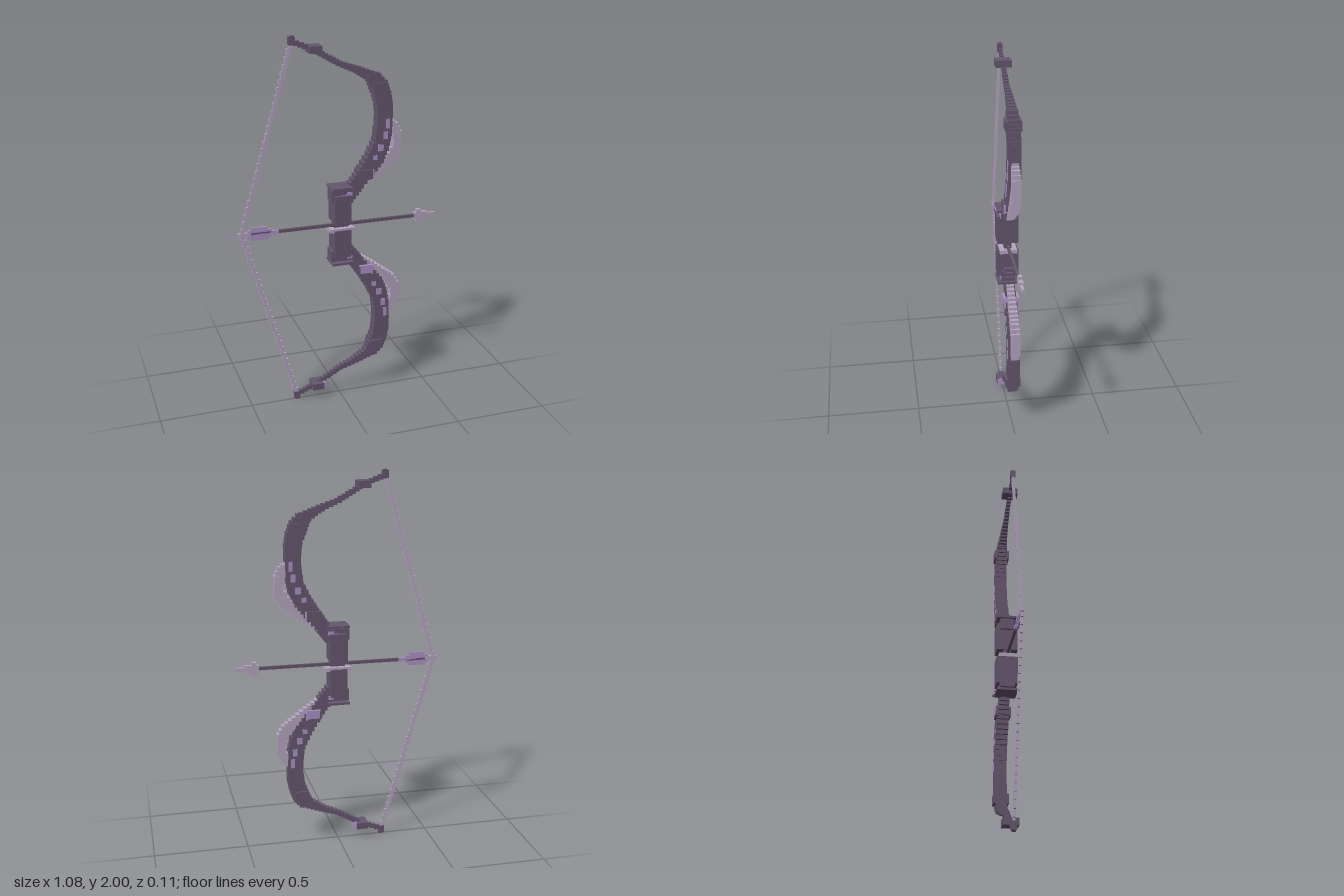
import * as THREE from 'three';
import { mergeGeometries } from 'three/addons/utils/BufferGeometryUtils.js';

const mat = (name, color) => {
  const m = new THREE.MeshStandardMaterial({ color });
  m.name = name;
  return m;
};

export function createModel() {
  const dark = mat('dark plum', 0x65576f);
  const pale = mat('pale mauve', 0xb5a5bf);
  const lilac = mat('lilac', 0xab92c6);
  const shaftGrey = mat('shaft grey', 0x63566a);
  const group = new THREE.Group();

  // One box: centre x, y, z and size w, h, d
  const box = (x, y, z, w, h, d) => new THREE.BoxGeometry(w, h, d).translate(x, y, z);
  const add = (name, material, boxes) => {
    const mesh = new THREE.Mesh(mergeGeometries(boxes.map((b) => box(...b))), material);
    mesh.name = name;
    group.add(mesh);
  };

  // Stepped chain of boxes along keys of [x, y, w, h, d]
  const chain = (keys, step) => {
    const out = [];
    keys.slice(0, -1).forEach((a, i) => {
      const b = keys[i + 1];
      const n = Math.max(1, Math.round(Math.hypot(b[0] - a[0], b[1] - a[1]) / step));
      for (let k = 0; k < n; k++) {
        const v = a.map((p, j) => p + (b[j] - p) * (k / n));
        out.push([v[0], v[1], 0, v[2], v[3], v[4]]);
      }
    });
    const e = keys[keys.length - 1];
    out.push([e[0], e[1], 0, e[2], e[3], e[4]]);
    return out;
  };

  // Upper and lower halves, mirrored about y = 1
  for (const s of [1, -1]) {
    const side = s > 0 ? 'upper' : 'lower';
    const put = (name, material, boxes) =>
      add(side + name, material, boxes.map(([x, y, ...r]) => [x, s > 0 ? y : 2 - y, ...r]));

    // Grip half with its end collar and thin plate
    put('Grip', dark, [
      [0.005, 1.095, 0, 0.09, 0.15, 0.11],
      [0.005, 1.165, 0, 0.115, 0.06, 0.075],
      [0.005, 1.207, 0, 0.115, 0.012, 0.11],
    ]);

    // Thick curved limb
    put('Limb', dark, chain([
      [0.04, 1.15, 0.06, 0.06, 0.05], [0.095, 1.22, 0.065, 0.055, 0.05],
      [0.145, 1.285, 0.08, 0.05, 0.06], [0.19, 1.35, 0.085, 0.06, 0.062],
      [0.222, 1.42, 0.075, 0.07, 0.062], [0.235, 1.5, 0.078, 0.08, 0.062],
      [0.238, 1.6, 0.08, 0.08, 0.06], [0.227, 1.67, 0.08, 0.06, 0.06],
      [0.205, 1.73, 0.085, 0.05, 0.058], [0.18, 1.768, 0.07, 0.045, 0.05],
    ], 0.025));

    // Thin outer limb and tip
    put('LimbEnd', dark, chain([
      [0.17, 1.775, 0.06, 0.04, 0.045], [0.09, 1.815, 0.04, 0.03, 0.035],
      [0, 1.85, 0.035, 0.022, 0.025], [-0.13, 1.925, 0.03, 0.022, 0.02],
      [-0.22, 1.962, 0.028, 0.025, 0.016], [-0.245, 1.975, 0.032, 0.04, 0.024],
    ], 0.022));
    put('Tip', dark, [[-0.243, 1.98, 0, 0.022, 0.04, 0.02]]);

    // Binding blocks along the limb
    put('Bindings', dark, [
      [-0.13, 1.93, 0, 0.065, 0.036, 0.08],
      [0.205, 1.72, 0, 0.07, 0.05, 0.08],
      [0.135, 1.27, 0, 0.07, 0.05, 0.08],
    ]);
    put('BindingPlate', lilac, [[0.174, 1.27, 0, 0.008, 0.045, 0.08]]);

    // Pale crescent guard in front of the limb
    put('Crescent', pale, chain([
      [0.265, 1.535, 0.035, 0.03, 0.035], [0.295, 1.5, 0.04, 0.055, 0.04],
      [0.313, 1.45, 0.04, 0.065, 0.045], [0.31, 1.395, 0.045, 0.06, 0.045],
      [0.28, 1.345, 0.055, 0.05, 0.045], [0.225, 1.295, 0.055, 0.035, 0.045],
      [0.165, 1.245, 0.05, 0.03, 0.04], [0.11, 1.2, 0.04, 0.025, 0.04],
    ], 0.025));

    // Small lilac inlays showing on both faces of the limb
    put('Inlays', lilac, [
      [0.252, 1.53, 0, 0.02, 0.05, 0.068], [0.24, 1.47, 0, 0.025, 0.04, 0.068],
      [0.215, 1.405, 0, 0.03, 0.035, 0.068], [0.185, 1.355, 0, 0.025, 0.025, 0.068],
      [0.025, 1.15, 0, 0.035, 0.045, 0.082], [0.045, 1.175, 0, 0.03, 0.02, 0.082],
    ]);

    // Bowstring half, drawn back to the nock
    put('String', pale, chain([
      [-0.52, 1.012, 0.02, 0.045, 0.013], [-0.25, 1.955, 0.02, 0.045, 0.013],
    ], 0.04));
  }

  // Lilac plates found only on the lower half
  add('lowerPlates', lilac, [
    [0.139, 0.758, 0, 0.072, 0.008, 0.084],
    [0.139, 0.735, 0, 0.066, 0.038, 0.084],
    [-0.095, 0.07, 0, 0.008, 0.036, 0.08],
  ]);

  // Arrow rest between the grip halves
  add('arrowRest', pale, [
    [0.005, 0.98, 0, 0.135, 0.02, 0.09],
    [0.005, 0.967, 0, 0.08, 0.02, 0.07],
  ]);
  add('gripCore', dark, [[0.005, 1.0, 0, 0.08, 0.07, 0.04]]);

  // Arrow
  add('arrowShaft', shaftGrey, [[-0.02, 1, 0, 0.96, 0.016, 0.014]]);
  add('arrowNock', pale, [[-0.51, 1, 0, 0.065, 0.022, 0.018]]);
  add('fletching', lilac, [
    [-0.43, 1, 0, 0.09, 0.07, 0.01],
    [-0.43, 1, 0, 0.125, 0.042, 0.014],
    [-0.35, 1, 0, 0.04, 0.018, 0.016],
  ]);
  add('arrowHead', pale, [
    [0.455, 1, 0, 0.07, 0.04, 0.022],
    [0.445, 1, 0, 0.025, 0.07, 0.022],
    [0.51, 1, 0, 0.06, 0.018, 0.014],
  ]);

  return group;
}
